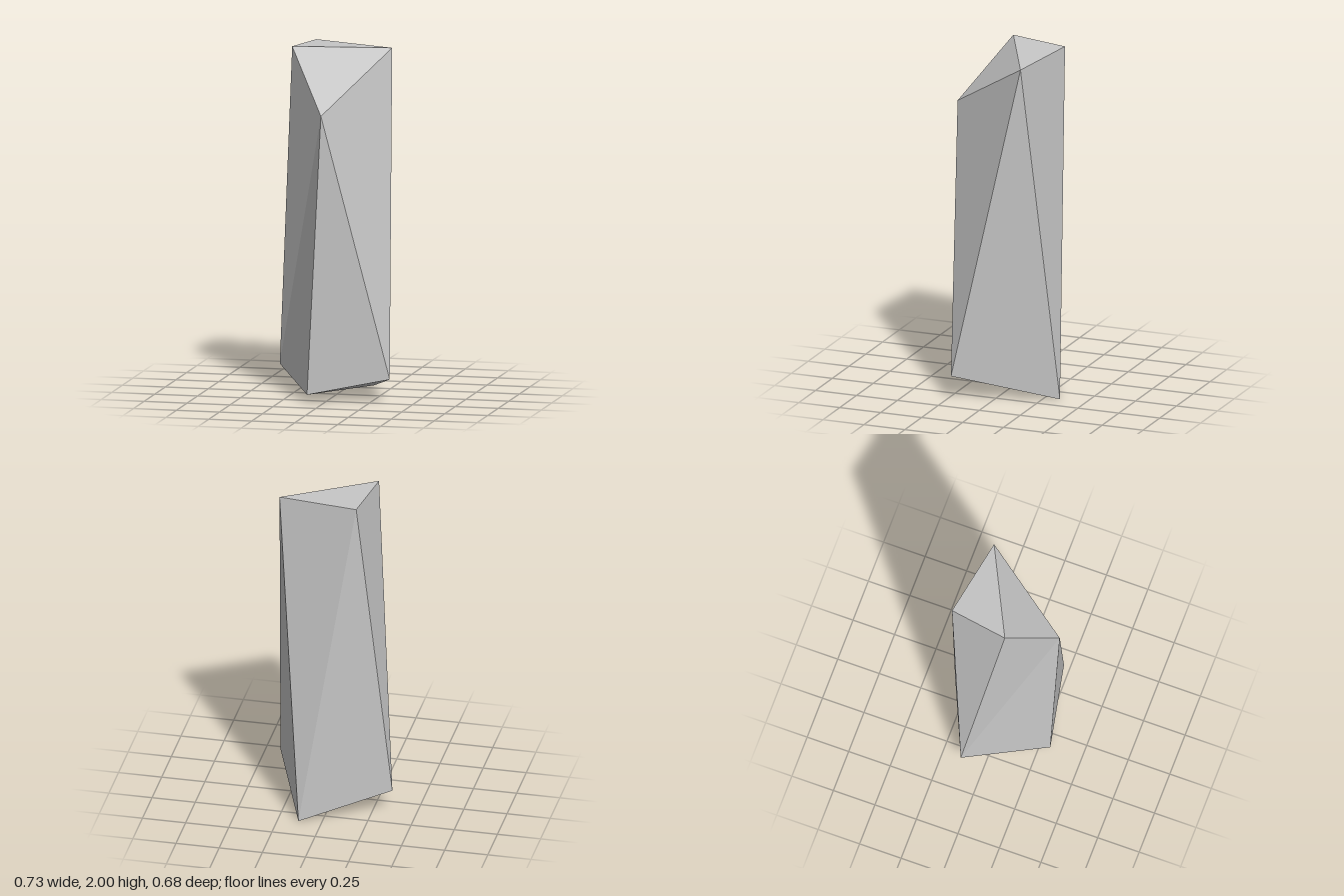
import * as THREE from 'three';

// Corners of a roughly hewn stone pillar: four at the top, four at the base
const CORNERS = {
  topLeft: [-0.238, 2.0, 0.094],
  topRight: [0.281, 1.97, -0.162],
  topBack: [-0.181, 1.987, -0.245],
  topFront: [-0.01, 1.648, 0.341],
  baseLeft: [-0.364, 0.14, -0.125],
  baseFront: [-0.097, 0.044, 0.316],
  baseRight: [0.363, 0.136, 0.229],
  baseBack: [0.132, 0.0, -0.342],
};

// Flat facets, corners counter-clockwise from outside
const FACETS = [
  // top
  ['topLeft', 'topRight', 'topBack'],
  ['topLeft', 'topFront', 'topRight'],
  // front left side
  ['topLeft', 'baseLeft', 'topFront'],
  ['baseLeft', 'baseFront', 'topFront'],
  // front right side
  ['topFront', 'baseFront', 'baseRight'],
  ['topFront', 'baseRight', 'topRight'],
  // back right side
  ['topRight', 'baseRight', 'baseBack'],
  ['topRight', 'baseBack', 'topBack'],
  // back left side
  ['topBack', 'baseBack', 'baseLeft'],
  ['topBack', 'baseLeft', 'topLeft'],
  // underside
  ['baseFront', 'baseBack', 'baseRight'],
  ['baseFront', 'baseLeft', 'baseBack'],
];

export function createModel() {
  const group = new THREE.Group();
  group.name = 'stonePillar';

  const stone = new THREE.MeshStandardMaterial({ color: 0xc6c6c6 });
  stone.name = 'stone grey';

  // Unshared corners give every facet its own flat normal
  const geometry = new THREE.BufferGeometry();
  const positions = FACETS.flat().flatMap((name) => CORNERS[name]);
  geometry.setAttribute('position', new THREE.Float32BufferAttribute(positions, 3));
  geometry.computeVertexNormals();

  const rock = new THREE.Mesh(geometry, stone);
  rock.name = 'rock';
  group.add(rock);
  return group;
}
